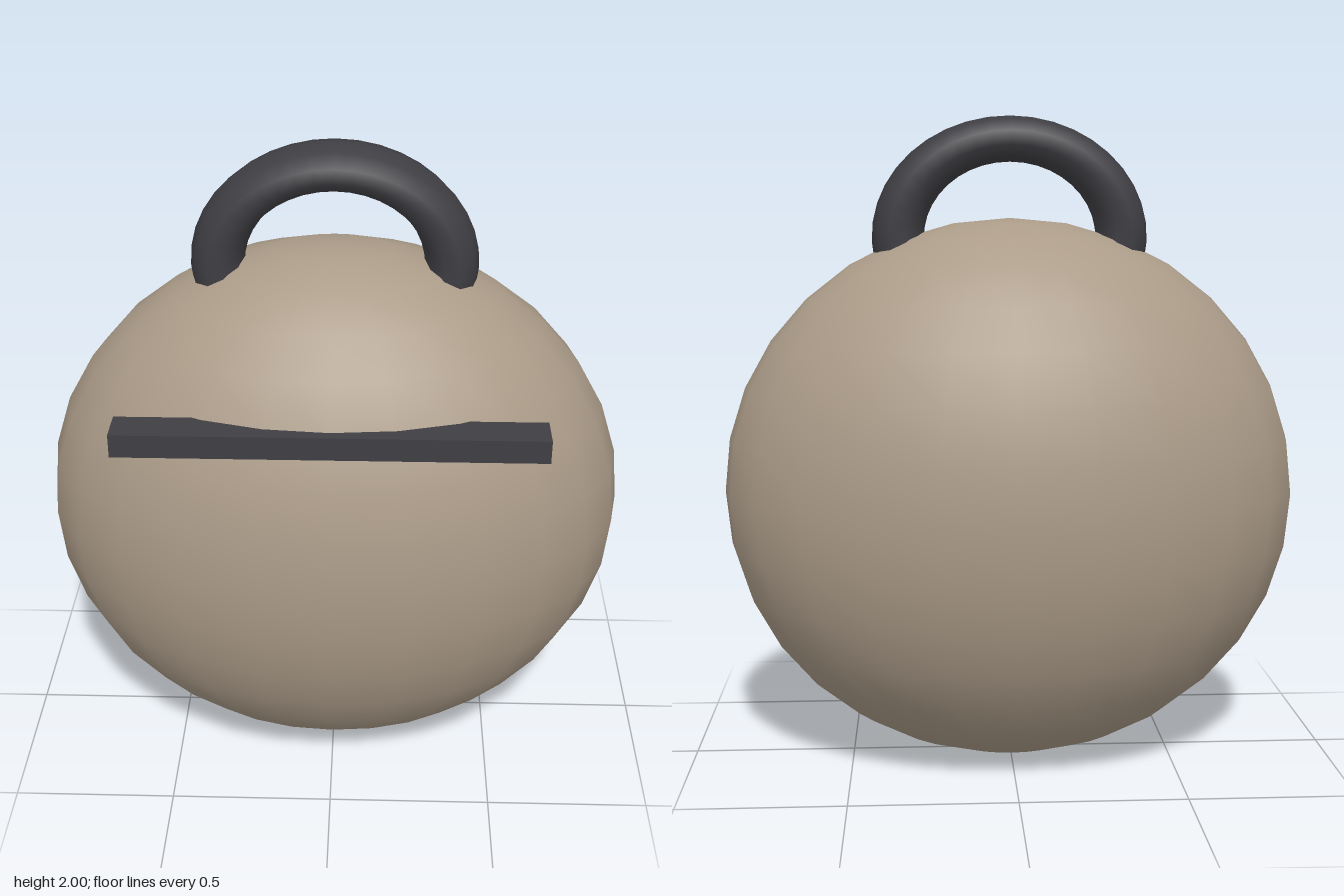
import * as THREE from 'three';

export function createModel() {
  const group = new THREE.Group();
  const tan = new THREE.MeshStandardMaterial({ color: 0xab9b88 });
  tan.name = 'warm tan';
  const charcoal = new THREE.MeshStandardMaterial({ color: 0x3f3e43 });
  charcoal.name = 'charcoal';

  const add = (name, geometry, material, x, y, z) => {
    const mesh = new THREE.Mesh(geometry, material);
    mesh.name = name;
    mesh.position.set(x, y, z);
    group.add(mesh);
  };

  // Flattened round body
  const body = new THREE.SphereGeometry(1, 24, 16).scale(0.89, 0.845, 0.595);
  add('body', body, tan, 0, 0.845, 0);

  // Arched carry handle, its ends sunk into the body
  const sink = 0.35;
  const handle = new THREE.TorusGeometry(0.345, 0.08, 10, 24, Math.PI + 2 * sink)
    .rotateZ(-sink)
    .scale(1, 0.87, 1.38);
  add('handle', handle, charcoal, 0, 1.63, 0);

  // Straight bar across the upper front
  add('frontBar', new THREE.BoxGeometry(1.23, 0.07, 0.11), charcoal, 0, 1.29, 0.465);

  return group;
}
